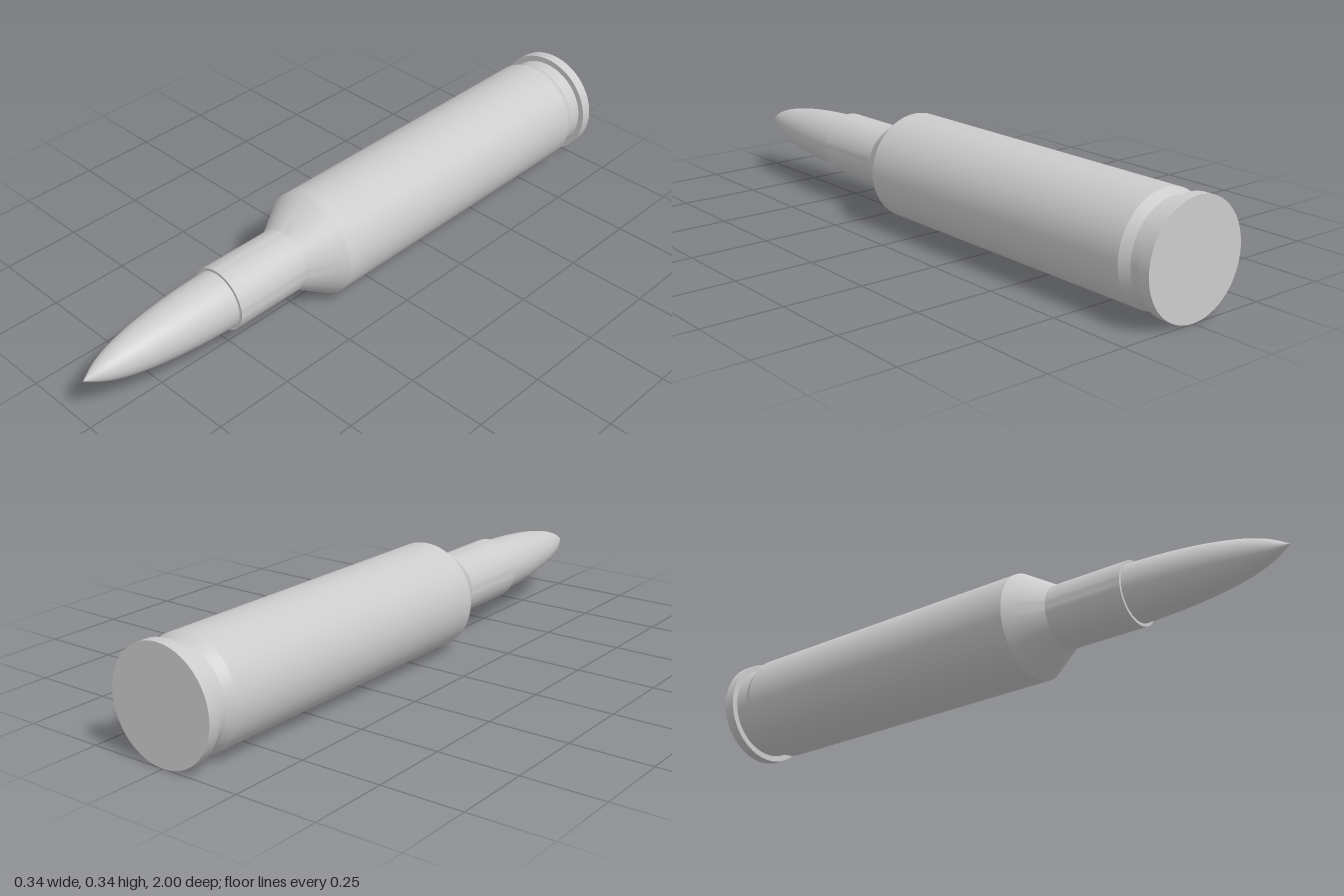
import * as THREE from 'three';
import { toCreasedNormals } from 'three/addons/utils/BufferGeometryUtils.js';

const AXIS_Y = 0.171;
const SEGMENTS = 64;

// Turn a list of [radius, z] points around the long axis
function turned(name, profile, material, crease) {
  const points = profile.map(([r, z]) => new THREE.Vector2(r, z));
  let geometry = new THREE.LatheGeometry(points, SEGMENTS);
  if (crease) geometry = toCreasedNormals(geometry, crease);
  geometry.rotateX(Math.PI / 2);
  const mesh = new THREE.Mesh(geometry, material);
  mesh.name = name;
  mesh.position.y = AXIS_Y;
  return mesh;
}

export function createModel() {
  const group = new THREE.Group();
  group.name = 'cartridge';
  const material = new THREE.MeshStandardMaterial({ color: 0xcccccc });

  // Flat base, rim, groove, straight body, shoulder, neck and mouth
  group.add(turned('case', [
    [0, -1], [0.171, -1], [0.171, -0.965], [0.152, -0.965],
    [0.152, -0.92], [0.167, -0.89], [0.167, 0.16],
    [0.099, 0.27], [0.099, 0.525], [0.088, 0.525],
  ], material, 0.35));

  // Pointed nose with a curved flank, seated slightly inside the mouth
  const flank = new THREE.SplineCurve([
    [0.09, 0.515], [0.086, 0.62], [0.078, 0.72], [0.066, 0.81],
    [0.049, 0.89], [0.028, 0.95], [0, 1],
  ].map(([r, z]) => new THREE.Vector2(r, z)));
  const nose = flank.getPoints(24).map((p) => [Math.max(p.x, 0), p.y]);
  group.add(turned('nose', nose, material));

  return group;
}
